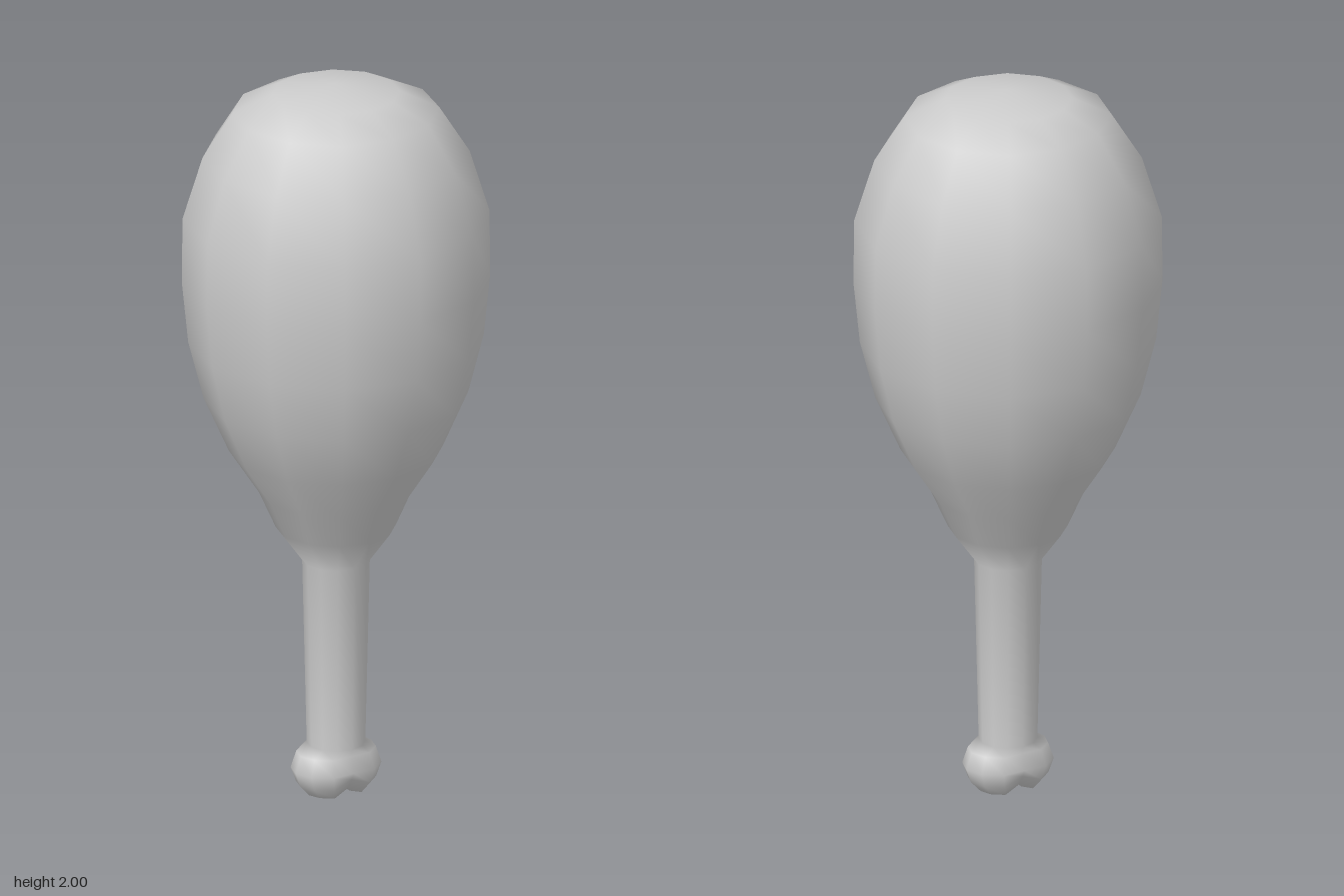
import * as THREE from 'three';
import { mergeVertices } from 'three/addons/utils/BufferGeometryUtils.js';

const SIDES = 12;
const NECK = 0.655; // height where the meat meets the bone

// [radius, height], from the bone end up to the crown
const PROFILE = [
  [0, 0.025], [0.045, 0.005], [0.085, 0.005], [0.113, 0.035], [0.128, 0.075], [0.112, 0.12],
  [0.078, 0.14], [0.09, NECK],
  [0.16, 0.75], [0.205, 0.85], [0.285, 0.97], [0.352, 1.12], [0.393, 1.28], [0.41, 1.45],
  [0.408, 1.63], [0.355, 1.8], [0.275, 1.925], [0.17, 1.975], [0, 2],
];

function surface() {
  let geo = new THREE.LatheGeometry(PROFILE.map(([r, y]) => new THREE.Vector2(r, y)), SIDES);
  geo.deleteAttribute('uv');
  geo.deleteAttribute('normal');
  geo = mergeVertices(geo);

  const p = geo.attributes.position;
  for (let i = 0; i < p.count; i++) {
    const x = p.getX(i), y = p.getY(i), z = p.getZ(i);
    const knob = y < 0.13;
    p.setZ(i, z * (knob ? 0.78 : 0.98));
    // Groove between the two knuckles of the bone
    if (knob && Math.abs(x) < 0.001 && Math.abs(z) > 0.01) {
      p.setZ(i, z * 0.66);
      if (y < 0.05) p.setY(i, y + 0.02);
    }
  }
  geo.computeVertexNormals();
  return geo;
}

// Part of the surface above or below the neck, sharing its smooth normals
function part(geo, name, above) {
  const p = geo.attributes.position, index = geo.index.array, kept = [];
  for (let i = 0; i < index.length; i += 3) {
    const tri = [index[i], index[i + 1], index[i + 2]];
    const mid = tri.reduce((sum, v) => sum + p.getY(v), 0) / 3;
    if (new Set(tri).size === 3 && mid > NECK === above) kept.push(...tri);
  }
  const g = geo.clone();
  g.setIndex(kept);
  const mesh = new THREE.Mesh(g, new THREE.MeshStandardMaterial({ color: 0xcccccc }));
  mesh.name = name;
  return mesh;
}

export function createModel() {
  const group = new THREE.Group();
  group.name = 'drumstick';
  const geo = surface();
  group.add(part(geo, 'meat', true), part(geo, 'bone', false));
  return group;
}
